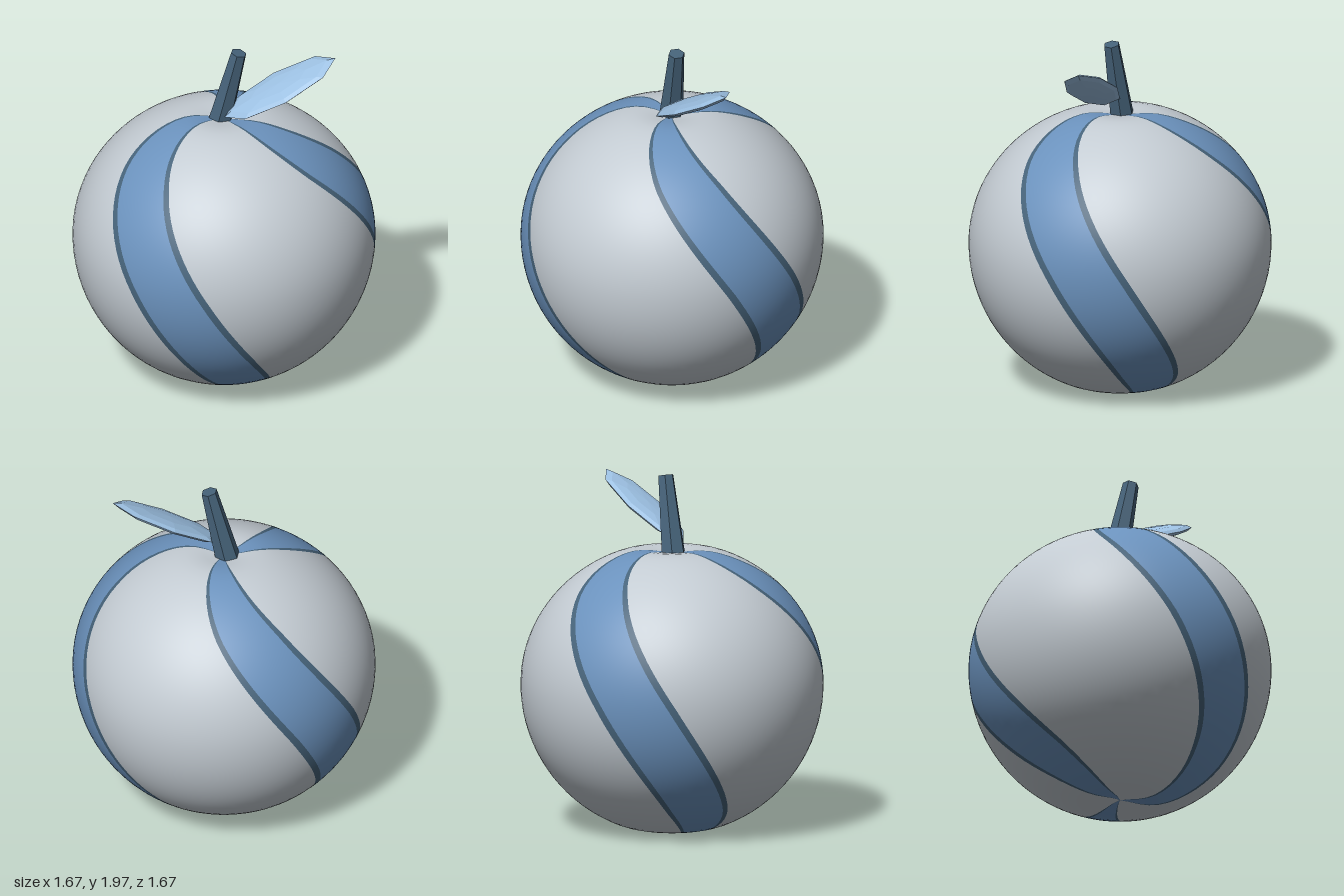
import * as THREE from 'three';

const DEG = Math.PI / 180;
const mat = (name, color, extra = {}) => {
  const m = new THREE.MeshStandardMaterial({ color, ...extra });
  m.name = name;
  return m;
};

// Fruit profile: round below, flatter above, with a small dimple at each pole
function profile(t) {
  const r = 0.835 * Math.sin(t), c = Math.cos(t);
  const dimple = 0.045 * Math.exp(-((r / 0.15) ** 2));
  return [r, 0.84 + c * (c > 0 ? 0.78 : 0.835) - Math.sign(c) * dimple];
}

// Swirl centre line and half width, in degrees, at a polar angle in degrees
const swirl = (t) => -8 + 0.62 * (t - 92);
const halfWidth = (t) => 16.3 + 2.2 * Math.min(1, ((t - 92) / 48) ** 2);
const BORDER = 3.2;

// Strip of skin from pole to pole between two edge rules (degrees)
function skinStrip(from, to, columns) {
  const rows = 48, pos = [], nor = [], index = [];
  for (let j = 0; j <= rows; j++) {
    const deg = (180 * j) / rows, t = deg * DEG;
    const [r, y] = profile(t);
    const [r0, y0] = profile(t - 0.01), [r1, y1] = profile(t + 0.01);
    const n = new THREE.Vector2(y0 - y1, r1 - r0).normalize();
    for (let i = 0; i <= columns; i++) {
      const a = THREE.MathUtils.lerp(from(deg), to(deg), i / columns) * DEG;
      pos.push(r * Math.sin(a), y, r * Math.cos(a));
      nor.push(n.x * Math.sin(a), n.y, n.x * Math.cos(a));
      if (i < columns && j < rows) {
        const p = j * (columns + 1) + i, q = p + columns + 1;
        index.push(p, q, p + 1, p + 1, q, q + 1);
      }
    }
  }
  const g = new THREE.BufferGeometry();
  g.setAttribute('position', new THREE.Float32BufferAttribute(pos, 3));
  g.setAttribute('normal', new THREE.Float32BufferAttribute(nor, 3));
  g.setIndex(index);
  return g;
}

export function createModel() {
  const model = new THREE.Group();
  model.name = 'stripedFruit';
  const skin = mat('pale grey skin', 0xc3cbd2);
  const blue = mat('blue stripe', 0x6b92bd);
  const edge = mat('dark slate', 0x46637a, { flatShading: true });
  const edgeSmooth = mat('dark slate border', 0x46637a);
  const leafMat = mat('light blue leaf', 0x9cc0e2, { flatShading: true });

  const add = (name, geometry, material, parent = model) => {
    const mesh = new THREE.Mesh(geometry, material);
    mesh.name = name;
    parent.add(mesh);
    return mesh;
  };

  // Skin: three equal sectors, each a bordered swirl and a plain panel
  const left = (t) => swirl(t) - halfWidth(t);
  const right = (t) => swirl(t) + halfWidth(t);
  const leftIn = (t) => left(t) + BORDER;
  const rightIn = (t) => right(t) - BORDER;
  const nextLeft = (t) => left(t) + 120;
  const parts = [
    ['stripeBorder', skinStrip(left, leftIn, 1), edgeSmooth],
    ['stripe', skinStrip(leftIn, rightIn, 6), blue],
    ['stripeBorder', skinStrip(rightIn, right, 1), edgeSmooth],
    ['plainPanel', skinStrip(right, nextLeft, 16), skin],
  ];
  for (let k = 0; k < 3; k++) {
    const sector = new THREE.Group();
    sector.name = 'skinSector';
    sector.rotation.y = 120 * k * DEG;
    for (const [name, geometry, material] of parts) add(name, geometry, material, sector);
    model.add(sector);
  }

  // Stem: tapered, leaning six-sided post
  const base = new THREE.Vector3(-0.028, 1.53, 0), top = new THREE.Vector3(0.083, 1.992, 0);
  const axis = top.clone().sub(base);
  const stem = add('stem', new THREE.CylinderGeometry(0.045, 0.072, axis.length(), 6), edge);
  stem.position.copy(base).add(top).multiplyScalar(0.5);
  stem.rotation.z = -Math.atan2(axis.x, axis.y);

  // Leaf: flattened low-poly ellipsoid along a tilted long and short axis
  const long = new THREE.Vector3(0.29, 0.165, -0.102);
  const short = new THREE.Vector3(-0.06, 0.018, -0.128);
  const thick = short.clone().cross(long).setLength(0.032);
  const frame = new THREE.Matrix4().makeBasis(long, thick, short).setPosition(0.311, 1.787, -0.024);
  add('leaf', new THREE.SphereGeometry(1, 8, 6).applyMatrix4(frame), leafMat);

  return model;
}
